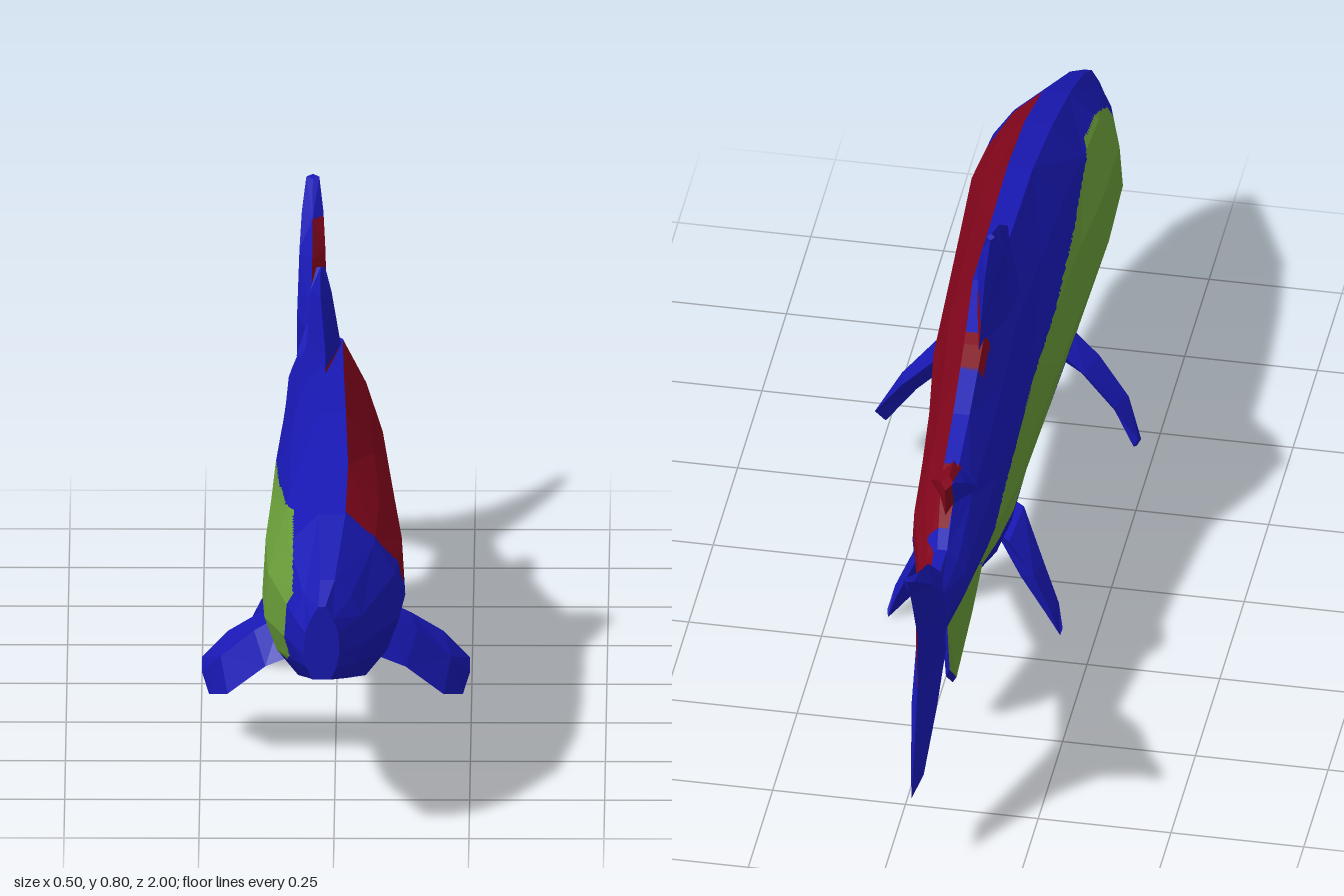
import * as THREE from 'three';

const material = (name, color) => {
  const m = new THREE.MeshStandardMaterial({ color, flatShading: true });
  m.name = name;
  return m;
};

// Piecewise-linear lookup through [position, value] pairs, position falling
function lookup(pairs, p) {
  if (p >= pairs[0][0]) return pairs[0][1];
  for (let i = 1; i < pairs.length; i++) {
    const [p0, v0] = pairs[i - 1], [p1, v1] = pairs[i];
    if (p >= p1) return v0 + (v1 - v0) * (p0 - p) / (p0 - p1);
  }
  return pairs[pairs.length - 1][1];
}

// Edges of the two painted flank bands, as heights along z
const RED_LOW = [[0.6, 0.39], [0.2, 0.415], [-0.3, 0.42], [-0.5, 0.405], [-0.9, 0.37]];
const RED_TOP = [[-0.53, 0.668], [-0.56, 0.475], [-0.68, 0.475], [-0.76, 0.64], [-1, 0.63]];
const GREEN_TOP = [[0.89, 0.47], [0.85, 0.52], [0.7, 0.54], [0.3, 0.505], [0, 0.465], [-0.25, 0.405], [-0.46, 0.35], [-0.56, 0.32]];
const GREEN_LOW = [[0.9, 0.38], [0.88, 0.32], [0.82, 0.295], [0.65, 0.29], [0.3, 0.27], [0, 0.245], [-0.28, 0.28], [-0.4, 0.23], [-0.46, 0.05]];

// Red: the left flank, spilling over the back behind the dorsal fin and on the adipose fin
function isRed(p, n) {
  if (n.x < -0.08 && p.z < -0.48 && p.z > -0.6) {
    const above = p.y - lookup(GREEN_TOP, p.z); // thin streak above the green band
    if (above > 0 && above < 0.02) return true;
  }
  const overBack = p.x > -0.045 && p.y > 0.5 && (n.y > 0.4 || n.z < -0.2)
    && ((p.z < -0.42 && p.z > -0.56) || (p.z < -0.12 && p.z > -0.2));
  return (n.x > 0.08 || overBack) && p.y > lookup(RED_LOW, p.z)
    && p.y < lookup(RED_TOP, p.z) && p.z < 0.76 - 5 * (p.y - 0.55) ** 2;
}

// Green: a rounded band along the right flank
function isGreen(p, n) {
  const inner = p.y < 0.37 ? -0.062 : -0.077;
  return n.x < -0.08 && p.z < 0.9 && p.z > -0.56 && (p.z < 0 || p.x < inner)
    && p.y < lookup(GREEN_TOP, p.z) && p.y > lookup(GREEN_LOW, p.z);
}

const flankColour = (p, n) => (isRed(p, n) ? 1 : isGreen(p, n) ? 2 : 0);

// Triangles joining a row of equal-sized loops, capped at both ends
function loftTriangles(loops) {
  const tris = [], n = loops[0].length;
  for (let i = 0; i + 1 < loops.length; i++) {
    for (let j = 0; j < n; j++) {
      const k = (j + 1) % n;
      const a = loops[i][j], b = loops[i][k], c = loops[i + 1][k], d = loops[i + 1][j];
      if ((i + j) % 2) tris.push([a, b, c], [a, c, d]);
      else tris.push([a, b, d], [b, c, d]);
    }
  }
  const first = loops[0], last = loops[loops.length - 1];
  for (let j = 1; j + 1 < n; j++) {
    tris.push([first[0], first[j + 1], first[j]], [last[0], last[j], last[j + 1]]);
  }
  // Turn every face outward
  const v = new THREE.Vector3();
  const volume = tris.reduce((s, [a, b, c]) => s + a.dot(v.crossVectors(b, c)), 0);
  return volume < 0 ? tris.map(([a, b, c]) => [a, c, b]) : tris;
}

// Flat facets, finely divided so painted edges stay crisp
function paintedGeometry(tris, colourAt, depth) {
  const buckets = [[], [], []];
  const split = (a, b, c, normal, level) => {
    if (level === 0) {
      const mid = a.clone().add(b).add(c).divideScalar(3);
      for (const p of [a, b, c]) buckets[colourAt(mid, normal)].push(p.x, p.y, p.z);
      return;
    }
    const ab = a.clone().lerp(b, 0.5), bc = b.clone().lerp(c, 0.5), ca = c.clone().lerp(a, 0.5);
    split(a, ab, ca, normal, level - 1);
    split(ab, b, bc, normal, level - 1);
    split(ca, bc, c, normal, level - 1);
    split(ab, bc, ca, normal, level - 1);
  };
  for (const [a, b, c] of tris) {
    const normal = new THREE.Triangle(a, b, c).getNormal(new THREE.Vector3());
    split(a, b, c, normal, depth);
  }
  const geometry = new THREE.BufferGeometry();
  geometry.setAttribute('position', new THREE.Float32BufferAttribute(buckets.flat(), 3));
  let start = 0;
  buckets.forEach((bucket, i) => {
    if (bucket.length) geometry.addGroup(start, bucket.length / 3, i);
    start += bucket.length / 3;
  });
  geometry.computeVertexNormals();
  return geometry;
}

// Fin from rows of [front point, back point, half thickness]; thin diamond section
function finLoops(rows, thickDir = [1, 0, 0]) {
  const t = new THREE.Vector3(...thickDir).normalize();
  return rows.map(([f, b, h]) => {
    const front = new THREE.Vector3(...f), back = new THREE.Vector3(...b);
    const mid = front.clone().lerp(back, 0.45);
    return [front, mid.clone().addScaledVector(t, h), back, mid.clone().addScaledVector(t, -h)];
  });
}

export function createModel() {
  const group = new THREE.Group();
  const materials = [material('blue', 0x1818b4), material('red', 0x82051b), material('green', 0x689a38)];
  const plain = () => 0;
  const add = (name, loops, colourAt, depth) => {
    const mesh = new THREE.Mesh(paintedGeometry(loftTriangles(loops), colourAt, depth), materials);
    mesh.name = name;
    group.add(mesh);
  };

  // Body rings: z, bottom, top, right edge, left edge
  const rings = [
    [1.0, 0.31, 0.45, -0.055, 0.01],
    [0.94, 0.295, 0.485, -0.08, 0.055],
    [0.77, 0.25, 0.56, -0.13, 0.12],
    [0.6, 0.215, 0.607, -0.135, 0.13],
    [0.4, 0.185, 0.648, -0.125, 0.115],
    [0.2, 0.183, 0.66, -0.118, 0.102],
    [0, 0.172, 0.67, -0.108, 0.09],
    [-0.15, 0.165, 0.63, -0.105, 0.07],
    [-0.3, 0.235, 0.578, -0.1, 0.055],
    [-0.46, 0.315, 0.54, -0.095, 0.04],
    [-0.6, 0.355, 0.482, -0.088, 0.005],
    [-0.72, 0.36, 0.482, -0.07, -0.022],
    [-0.84, 0.39, 0.48, -0.058, -0.038],
  ];
  // Half of the cross-section, from ridge to belly: share of half width, share of height
  const half = [[0.2, 1], [0.64, 0.83], [0.95, 0.64], [1, 0.36], [0.82, 0.16], [0.5, 0]];
  const section = [...half, ...half.map(([w, h]) => [-w, h]).reverse()];
  add('body', rings.map(([z, y0, y1, x0, x1]) => section.map(([w, h]) =>
    new THREE.Vector3((x0 + x1) / 2 + w * (x1 - x0) / 2, y0 + h * (y1 - y0), z))), flankColour, 4);

  // Fins along the middle
  add('dorsalFin', finLoops([
    [[-0.02, 0.64, 0.22], [-0.03, 0.59, -0.18], 0.045],
    [[-0.02, 0.685, 0.16], [-0.03, 0.67, -0.14], 0.03],
    [[-0.03, 0.765, 0.05], [-0.03, 0.745, -0.1], 0.02],
    [[-0.03, 0.8, -0.03], [-0.03, 0.795, -0.045], 0.008],
  ]), flankColour, 4);

  add('adiposeFin', finLoops([
    [[-0.03, 0.53, -0.34], [-0.035, 0.485, -0.53], 0.045],
    [[-0.03, 0.555, -0.42], [-0.035, 0.535, -0.53], 0.03],
    [[-0.035, 0.576, -0.495], [-0.035, 0.57, -0.535], 0.012],
  ]), flankColour, 4);

  add('analFin', finLoops([
    [[-0.025, 0.28, -0.28], [-0.035, 0.35, -0.53], 0.05],
    [[-0.035, 0.19, -0.34], [-0.04, 0.27, -0.54], 0.03],
    [[-0.04, 0.1, -0.485], [-0.04, 0.15, -0.515], 0.01],
  ]), flankColour, 4);

  add('tailFin', finLoops([
    [[-0.05, 0.195, -0.85], [-0.05, 0.17, -0.96], 0.012],
    [[-0.05, 0.3, -0.75], [-0.05, 0.28, -0.925], 0.024],
    [[-0.05, 0.365, -0.65], [-0.05, 0.38, -0.895], 0.028],
    [[-0.05, 0.475, -0.66], [-0.05, 0.5, -0.9], 0.028],
    [[-0.05, 0.585, -0.79], [-0.05, 0.59, -0.945], 0.024],
    [[-0.05, 0.635, -0.89], [-0.05, 0.645, -0.975], 0.02],
    [[-0.05, 0.685, -0.985], [-0.05, 0.69, -1.0], 0.012],
  ]), flankColour, 4);

  // Paired fins, mirrored about the body's own middle line
  const pair = (name, rows, thickDir, middle) => {
    for (const [side, s] of [['left', 1], ['right', -1]]) {
      const loops = finLoops(rows, thickDir);
      if (s < 0) loops.flat().forEach((p) => { p.x = 2 * middle - p.x; });
      add(side + name, loops, plain, 0);
    }
  };
  pair('PectoralFin', [
    [[0.07, 0.21, 0.5], [0.09, 0.27, 0.35], 0.035],
    [[0.13, 0.18, 0.48], [0.14, 0.24, 0.33], 0.028],
    [[0.2, 0.115, 0.44], [0.2, 0.195, 0.3], 0.022],
    [[0.235, 0.085, 0.34], [0.248, 0.14, 0.285], 0.012],
  ], [0.6, 0.8, 0], 0);
  pair('PelvicFin', [
    [[0.01, 0.17, 0.02], [0.04, 0.19, -0.15], 0.04],
    [[0.065, 0.09, -0.065], [0.09, 0.13, -0.165], 0.03],
    [[0.115, 0.035, -0.11], [0.125, 0.05, -0.17], 0.018],
    [[0.138, 0.012, -0.15], [0.14, 0.003, -0.167], 0.006],
  ], [0.7, 0.7, 0], -0.022);

  return group;
}
